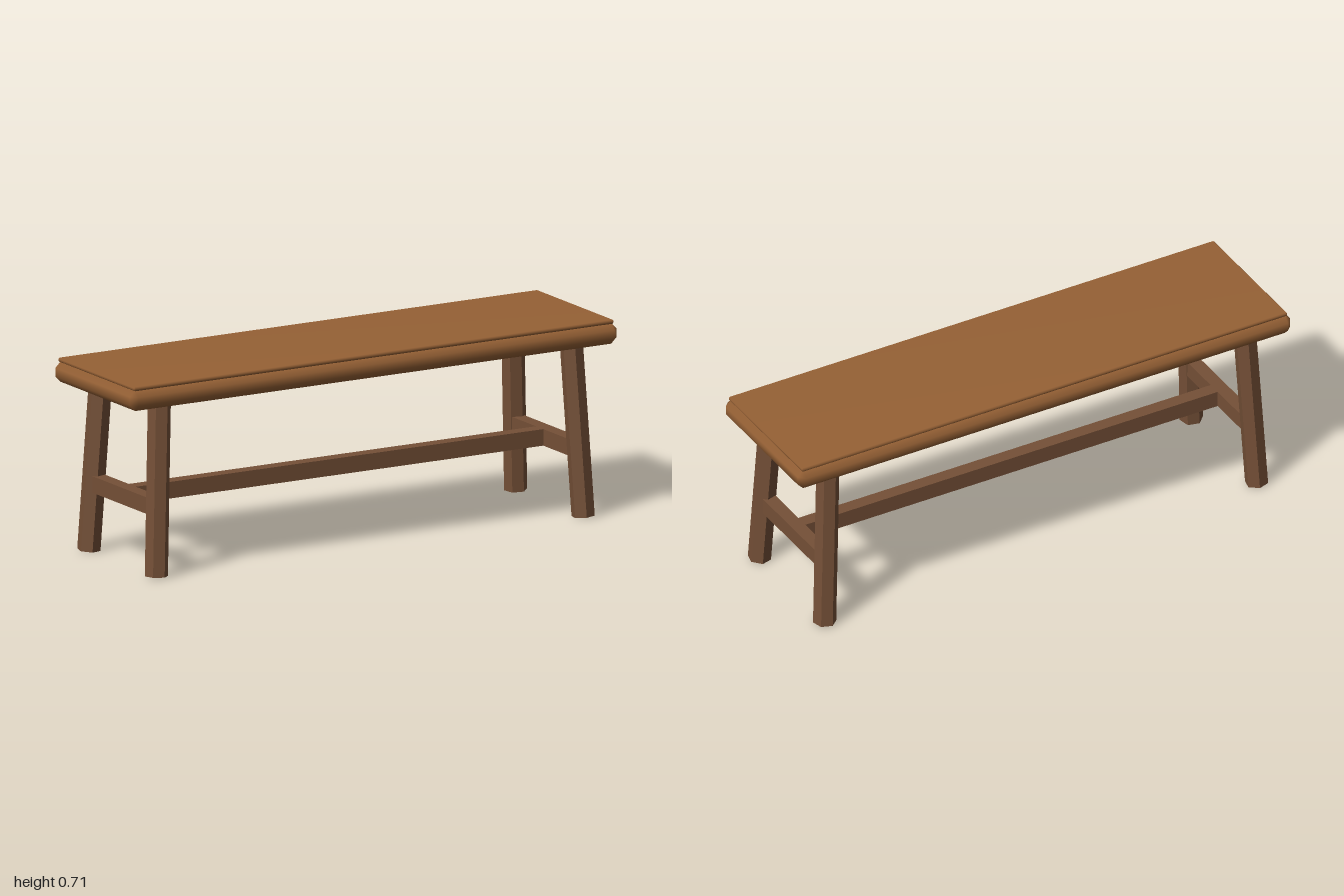
import * as THREE from 'three';
import { mergeVertices } from 'three/addons/utils/BufferGeometryUtils.js';
import { ConvexGeometry } from 'three/addons/geometries/ConvexGeometry.js';

const seatWood = new THREE.MeshStandardMaterial({ color: 0x966135 });
seatWood.name = 'seatWood';
const legWood = new THREE.MeshStandardMaterial({ color: 0x755037 });
legWood.name = 'legWood';

// Box with all edges and corners chamfered by c, softened normals
function chamferedBox(hx, hy, hz, c) {
  const points = [];
  for (const sx of [-1, 1]) for (const sy of [-1, 1]) for (const sz of [-1, 1]) {
    points.push(
      new THREE.Vector3(sx * hx, sy * (hy - c), sz * (hz - c)),
      new THREE.Vector3(sx * (hx - c), sy * hy, sz * (hz - c)),
      new THREE.Vector3(sx * (hx - c), sy * (hy - c), sz * hz));
  }
  let geometry = new ConvexGeometry(points);
  geometry.deleteAttribute('normal');
  geometry = mergeVertices(geometry, 1e-4);
  geometry.computeVertexNormals();
  return geometry;
}

export function createModel() {
  const bench = new THREE.Group();
  bench.name = 'bench';

  function add(name, geometry, material, x, y, z) {
    const mesh = new THREE.Mesh(geometry, material);
    mesh.name = name;
    mesh.position.set(x, y, z);
    bench.add(mesh);
    return mesh;
  }

  // Thick seat slab with a thin board on top
  add('seat', chamferedBox(1, 0.0375, 0.277, 0.022), seatWood, 0, 0.6575, 0);
  add('seatBoard', chamferedBox(0.985, 0.0075, 0.262, 0.004), seatWood, 0, 0.7, 0);

  // Four splayed six-sided legs
  const up = new THREE.Vector3(0, 1, 0);
  for (const sx of [-1, 1]) for (const sz of [-1, 1]) {
    const foot = new THREE.Vector3(sx * 0.877, 0.004, sz * 0.231);
    const head = new THREE.Vector3(sx * 0.847, 0.621, sz * 0.201);
    const axis = head.clone().sub(foot);
    const twist = -sx * sz * THREE.MathUtils.degToRad(13);
    const geometry = new THREE.CylinderGeometry(0.042, 0.042, axis.length(), 6, 1, false, twist).toNonIndexed();
    geometry.computeVertexNormals();
    const middle = foot.add(head).multiplyScalar(0.5);
    const name = (sz > 0 ? 'front' : 'back') + (sx > 0 ? 'Left' : 'Right') + 'Leg';
    const leg = add(name, geometry, legWood, middle.x, middle.y, middle.z);
    leg.quaternion.setFromUnitVectors(up, axis.normalize());
  }

  // Rails joining the legs at each end, and the long rail between them
  for (const sx of [-1, 1]) {
    add(sx > 0 ? 'leftEndRail' : 'rightEndRail',
      new THREE.BoxGeometry(0.05, 0.06, 0.386), legWood, sx * 0.862, 0.25, 0);
  }
  add('longRail', new THREE.BoxGeometry(1.7, 0.06, 0.05), legWood, 0, 0.25, 0);

  return bench;
}
